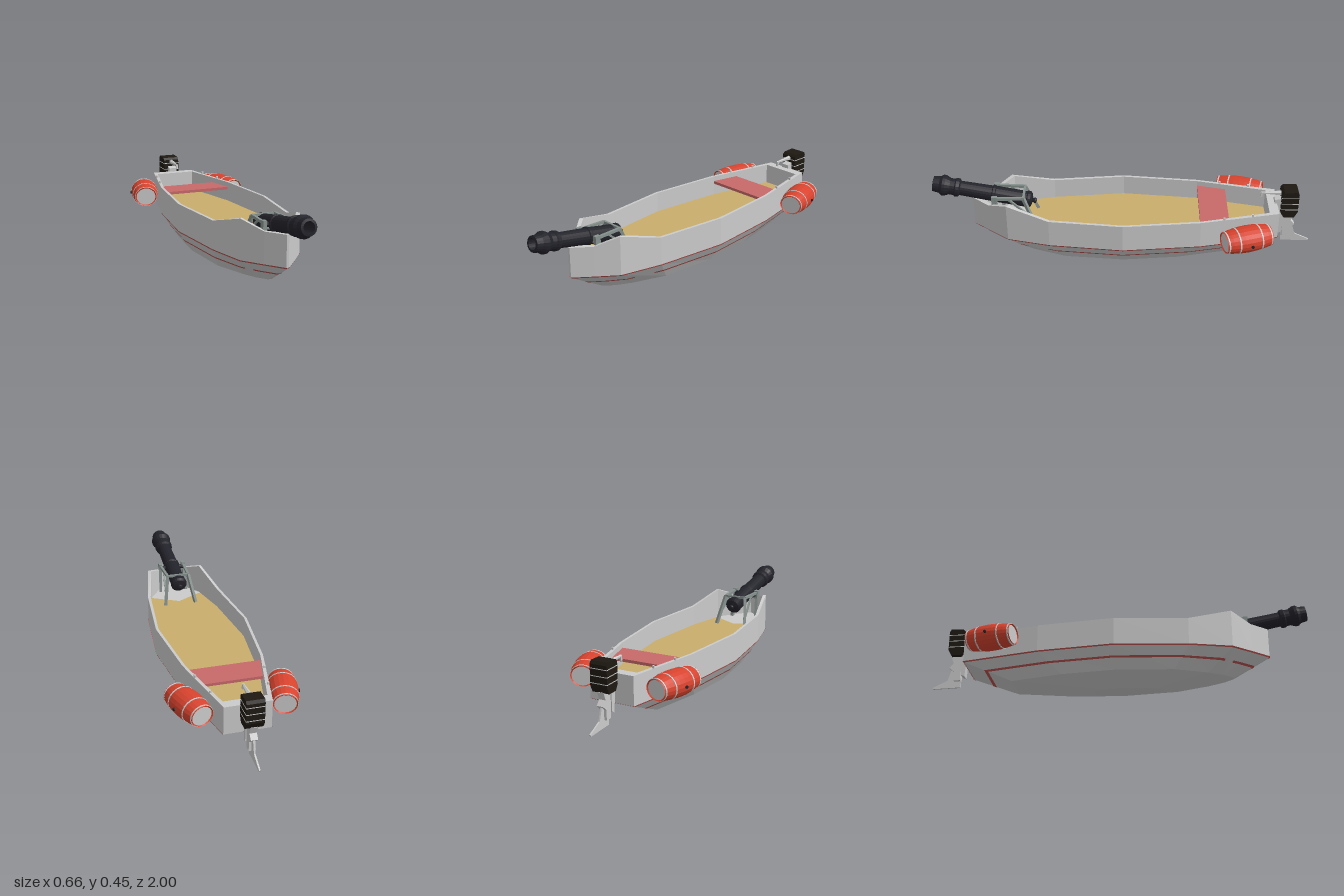
import * as THREE from 'three';

const mat = (color, side = THREE.FrontSide) =>
  new THREE.MeshStandardMaterial({ color, side, flatShading: true });
const GREY = mat(0xcccccc), GREY2 = mat(0xcccccc, THREE.DoubleSide);
const STRIPE = mat(0xb8504c, THREE.DoubleSide), TAN = mat(0xc9ae6c, THREE.DoubleSide);
const SEAT = mat(0xc8696a), BLACK = mat(0x22222a), FRAME = mat(0x87928f);
const RED = mat(0xd8432e), MOTOR = mat(0x1e1912);
const V = (x, y, z) => new THREE.Vector3(x, y, z);

function add(parent, name, geo, material, x = 0, y = 0, z = 0) {
  const m = new THREE.Mesh(geo, material);
  m.name = name;
  m.position.set(x, y, z);
  parent.add(m);
  return m;
}

const box = (p, name, w, h, d, material, x, y, z) =>
  add(p, name, new THREE.BoxGeometry(w, h, d), material, x, y, z);

// square bar between two points
function bar(parent, name, a, b, t, material) {
  const m = box(parent, name, t, t, a.distanceTo(b), material, 0, 0, 0);
  m.position.copy(a).lerp(b, 0.5);
  m.lookAt(b);
  return m;
}

function quads(list) {
  const pos = [];
  for (const [a, b, c, d] of list) for (const p of [a, b, c, a, c, d]) pos.push(...p);
  const g = new THREE.BufferGeometry();
  g.setAttribute('position', new THREE.Float32BufferAttribute(pos, 3));
  g.computeVertexNormals();
  return g;
}

// half outline [halfWidth, z] from bow to stern, mirrored into a closed ring
function ring(half, y) {
  const h = (i) => (typeof y === 'number' ? y : y[i]);
  const left = half.map(([x, z], i) => [x, h(i), z]);
  return left.concat(left.map(([x, yy, z]) => [-x, yy, z]).reverse());
}

// skin between successive rings
function loft(rings) {
  const list = [];
  for (let r = 0; r + 1 < rings.length; r++) {
    const a = rings[r], b = rings[r + 1], n = a.length;
    for (let i = 0; i < n; i++) {
      const j = (i + 1) % n;
      list.push([a[j], a[i], b[i], b[j]]);
    }
  }
  return quads(list);
}

// flat panel across a half outline
function panel(half, y) {
  const list = [];
  for (let i = 0; i + 1 < half.length; i++) {
    const [x0, z0] = half[i], [x1, z1] = half[i + 1];
    list.push([[-x0, y, z0], [x0, y, z0], [x1, y, z1], [-x1, y, z1]]);
  }
  return quads(list);
}

const chine = [[.006, .79], [.078, .7], [.155, .6], [.207, .38], [.248, 0], [.207, -.4], [.118, -.81]];
const bilge = [[.01, .6], [.05, .55], [.09, .47], [.15, .3], [.177, 0], [.15, -.28], [.09, -.55]];
const keel = [[.004, .25], [.015, .23], [.03, .2], [.045, .1], [.055, 0], [.045, -.08], [.03, -.12]];
const inner = [[.004, .75], [.066, .685], [.142, .585], [.192, .375], [.234, 0], [.193, -.4], [.108, -.76]];
const rimY = [.32, .32, .365, .308, .308, .308, .308];
const FLOOR = .2;

function buildHull() {
  const g = new THREE.Group();
  g.name = 'hull';
  add(g, 'shell', loft([ring(keel, 0), ring(bilge, .05), ring(chine, .16), ring(chine, rimY),
    ring(inner, rimY), ring(inner, FLOOR)]), GREY2);
  add(g, 'keelPlate', panel(keel, 0), GREY2);
  add(g, 'floor', panel(inner.slice(2), FLOOR), TAN);
  add(g, 'bowFloor', panel([inner[0], inner[1], [.146, .57], [0, .49]], FLOOR + .003), GREY2);

  // red waterline bands, held just outside the skin
  const line = (y) => {
    const t = Math.max(0, (.16 - y) / .11);
    return ring(chine.map(([x, z], i) => [
      x + (bilge[i][0] - x) * t + .002, (z + (bilge[i][1] - z) * t) * 1.003]), y);
  };
  for (const [lo, hi] of [[.156, .163], [.102, .111]])
    add(g, 'stripe', loft([line(lo), line(hi)]), STRIPE);

  // tapered bench
  const s = new THREE.Shape([[-.195, .4], [.195, .4], [.16, .55], [-.16, .55]].map(p => new THREE.Vector2(...p)));
  const bench = new THREE.ExtrudeGeometry(s, { depth: .015, bevelEnabled: false }).rotateX(-Math.PI / 2);
  add(g, 'seat', bench, SEAT, 0, .265, 0);
  return g;
}

function buildCannon() {
  const g = new THREE.Group();
  g.name = 'cannon';
  const profile = [[0, -.02], [.012, -.016], [.015, -.008], [.01, .002], [.035, .008], [.045, .018],
    [.045, .032], [.042, .038], [.042, .2], [.046, .204], [.046, .216], [.041, .22], [.038, .385],
    [.048, .392], [.05, .41], [.044, .416], [.043, .44], [.055, .465], [.055, .48], [.044, .495],
    [.04, .528], [.028, .53], [.026, .4], [0, .4]].map(p => new THREE.Vector2(...p));
  const barrel = add(g, 'cannonBarrel', new THREE.LatheGeometry(profile, 20), BLACK, 0, .305, .475);
  barrel.rotation.x = Math.PI / 2 - .19;
  const pin = add(g, 'trunnion', new THREE.CylinderGeometry(.012, .012, .13, 10), BLACK, 0, .342, .66);
  pin.rotation.z = Math.PI / 2;

  // splayed stand
  for (const s of [-1, 1]) {
    bar(g, 'standRail', V(s * .06, .353, .52), V(s * .068, .353, .68), .014, FRAME);
    bar(g, 'standRearLeg', V(s * .06, .353, .52), V(s * .088, FLOOR, .46), .016, FRAME);
    bar(g, 'standFrontLeg', V(s * .068, .353, .67), V(s * .075, FLOOR, .64), .016, FRAME);
    bar(g, 'standBrace', V(s * .064, .35, .6), V(s * .08, .25, .48), .01, FRAME);
    box(g, 'trunnionCheek', .02, .045, .03, FRAME, s * .067, .343, .67);
  }
  bar(g, 'standRearCrossbar', V(-.065, .353, .52), V(.065, .353, .52), .012, FRAME);
  bar(g, 'standFrontCrossbar', V(-.077, .325, .67), V(.077, .325, .67), .01, FRAME);
  return g;
}

// barrel slung on the hull side: s is its side, yaw its toe-out
function buildKeg(s, x, yaw) {
  const g = new THREE.Group();
  g.name = s > 0 ? 'leftKeg' : 'rightKeg';
  const L = .125, radius = (y) => .052 + .015 * (1 - (y / L) ** 2);
  const profile = [[0, -L + .006], [.047, -L + .006]];
  for (let i = 0; i <= 8; i++) {
    const y = -L + i * L / 4;
    profile.push([radius(y), y]);
  }
  profile.push([.047, L - .006], [0, L - .006]);
  add(g, 'kegBody', new THREE.LatheGeometry(profile.map(p => new THREE.Vector2(...p)), 20), RED);
  for (const y of [-.116, -.06, .06, .116]) {
    const r = radius(y) + .0015;
    add(g, 'kegHoop', new THREE.CylinderGeometry(r, r, .007, 20), GREY, 0, y, 0);
  }
  const bung = add(g, 'kegBung', new THREE.CylinderGeometry(.008, .008, .012, 8), BLACK, s * .066, 0, 0);
  bung.rotation.z = Math.PI / 2;
  g.rotation.set(Math.PI / 2, yaw, 0, 'YXZ');
  g.scale.x = 1.13;
  g.position.set(x, .237, -.635);
  return g;
}

// thin plate from a side outline of [z, y] points
function sidePlate(parent, name, pts, t, material) {
  const shape = new THREE.Shape(pts.map(([z, y]) => new THREE.Vector2(-z, y)));
  const geo = new THREE.ExtrudeGeometry(shape, { depth: t, bevelEnabled: false });
  geo.translate(0, 0, -t / 2).rotateY(Math.PI / 2);
  return add(parent, name, geo, material);
}

function buildMotor() {
  const g = new THREE.Group();
  g.name = 'outboardMotor';
  const side = [[-.828, .375], [-.84, .387], [-.908, .39], [-.917, .375], [-.917, .27], [-.9, .237], [-.845, .237], [-.828, .265]];
  sidePlate(g, 'motorCover', side, .09, MOTOR);
  for (const y of [.285, .32, .355]) box(g, 'motorTrim', .092, .004, .0905, GREY, 0, y, -.8725);
  sidePlate(g, 'motorLeg', [[-.845, .24], [-.905, .24], [-.89, .2], [-.912, .175], [-.885, .15], [-.885, .1], [-.85, .1]], .035, GREY);
  sidePlate(g, 'skeg', [[-.847, .176], [-.9, .176], [-.922, .105], [-1, .068], [-.995, .06], [-.847, .064]], .008, GREY);
  // transom clamp
  sidePlate(g, 'clamp', [[-.795, .33], [-.835, .34], [-.85, .24], [-.845, .13], [-.825, .12], [-.814, .31], [-.795, .31]], .045, GREY);
  // tapering tiller with a drooping grip
  const tiller = new THREE.CylinderGeometry(.005, .014, .11, 6).rotateX(Math.PI / 2);
  add(g, 'tiller', tiller, GREY, 0, .362, -.775);
  bar(g, 'tillerGrip', V(0, .366, -.73), V(0, .338, -.724), .01, GREY);
  return g;
}

export function createModel() {
  const model = new THREE.Group();
  const boat = new THREE.Group();
  boat.name = 'boat';
  boat.position.x = -.006;
  boat.add(buildHull(), buildCannon(), buildMotor(),
    buildKeg(1, .24, .32), buildKeg(-1, -.232, -.24));
  // keg cleats on the rim
  for (const s of [-1, 1])
    for (const z of [-.52, -.67])
      box(boat, 'cleat', .01, .014, .01, GREY, s * (.118 + (z + .81) * .217 - .006), .313, z);
  model.add(boat);
  return model;
}
